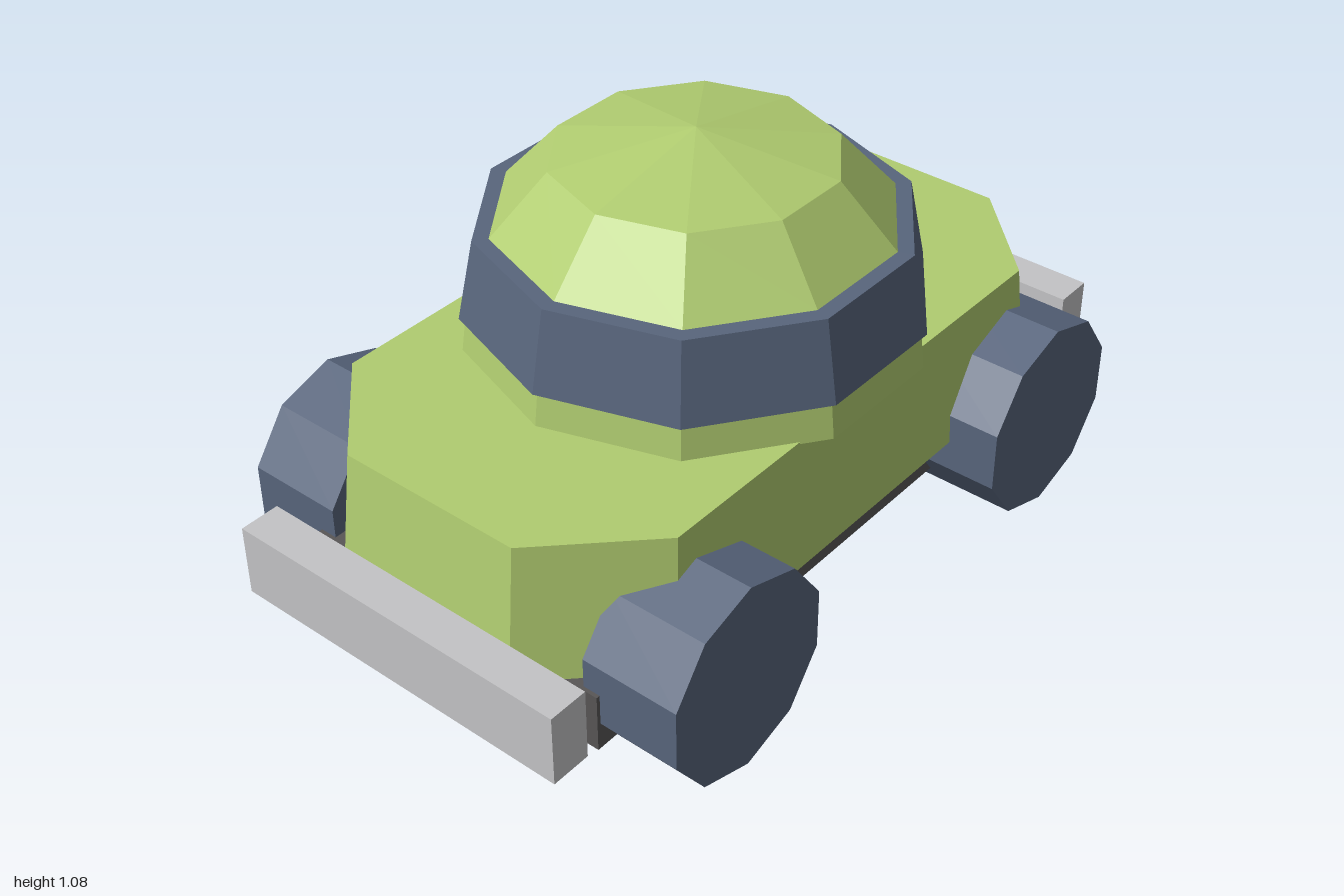
import * as THREE from 'three';

const mat = (name, color) => Object.assign(new THREE.MeshStandardMaterial({ color }), { name });

// Splits shared vertices so every facet is flat
function faceted(geometry) {
  const g = geometry.index ? geometry.toNonIndexed() : geometry;
  g.computeVertexNormals();
  return g;
}

// Ten-sided turned shape with corners on the x axis, profile from bottom to top
function turned(profile) {
  const points = profile.map(([r, y]) => new THREE.Vector2(r, y));
  return faceted(new THREE.LatheGeometry(points, 10, Math.PI / 2));
}

export function createModel() {
  const green = mat('leaf green', 0xb0cc70);
  const slate = mat('slate blue', 0x58657c);
  const dark = mat('dark grey', 0x585656);
  const silver = mat('light grey', 0xc4c4c6);

  const model = new THREE.Group();
  model.name = 'car';
  const add = (name, geometry, material, x = 0, y = 0, z = 0) => {
    const mesh = new THREE.Mesh(geometry, material);
    mesh.name = name;
    mesh.position.set(x, y, z);
    model.add(mesh);
  };

  // Body: eight-sided slab, narrowing slightly to the top
  const outline = [[0.905, 0.247], [0.66, 0.493], [-0.66, 0.493], [-0.905, 0.247],
    [-0.905, -0.247], [-0.66, -0.493], [0.66, -0.493], [0.905, -0.247]];
  const body = new THREE.ExtrudeGeometry(
    new THREE.Shape(outline.map(([x, y]) => new THREE.Vector2(x, y))),
    { depth: 0.33, bevelEnabled: false });
  body.rotateX(-Math.PI / 2);
  const p = body.attributes.position;
  for (let i = 0; i < p.count; i++) {
    const s = p.getY(i) > 0.1 ? 0.956 : 1;
    p.setXYZ(i, p.getX(i) * s, p.getY(i), p.getZ(i) * s);
  }
  add('body', faceted(body), green, 0, 0.25, 0);

  // Chassis
  add('chassis', new THREE.BoxGeometry(1.65, 0.148, 0.83), dark, 0, 0.176, 0);

  // Domed cabin and the window band around it
  add('cabin', turned([[0.542, 0.575], [0.53, 0.665], [0.467, 0.862], [0.332, 1.01], [0, 1.075]]), green);
  add('windowBand', turned([[0.49, 0.665], [0.545, 0.665], [0.505, 0.862], [0.44, 0.862]]), slate);

  // Bumpers and wheels
  const bumper = new THREE.BoxGeometry(0.1, 0.18, 0.91);
  const wheel = faceted(new THREE.CylinderGeometry(0.248, 0.248, 0.248, 10).rotateX(Math.PI / 2));
  for (const sx of [1, -1]) {
    const side = sx > 0 ? 'left' : 'right';
    add(side + 'Bumper', bumper, silver, sx * 0.95, 0.26, 0);
    for (const sz of [1, -1]) {
      add(side + (sz > 0 ? 'Front' : 'Back') + 'Wheel', wheel, slate, sx * 0.58, 0.248, sz * 0.495);
    }
  }
  return model;
}
